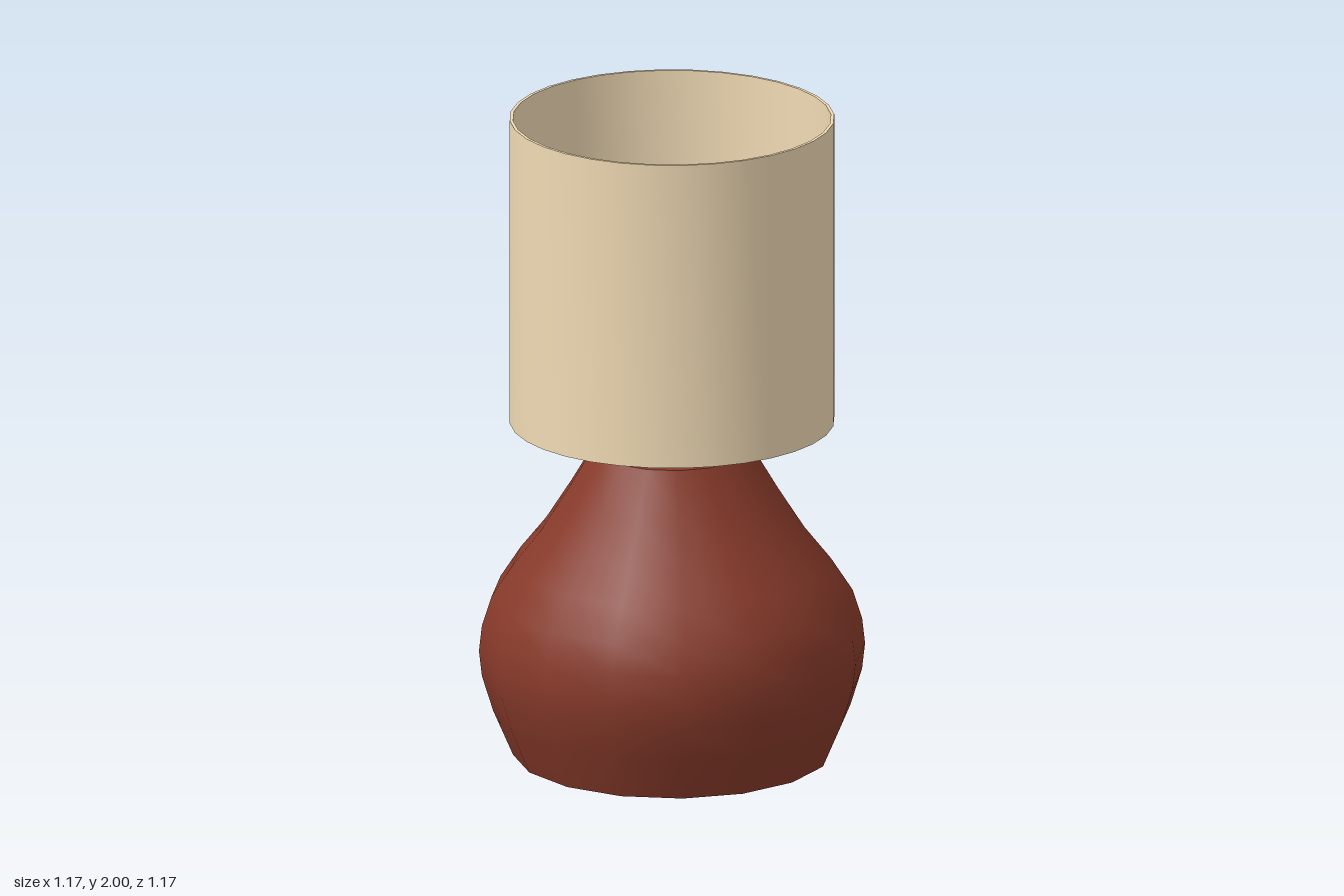
import * as THREE from 'three';
import { toCreasedNormals } from 'three/addons/utils/BufferGeometryUtils.js';

const CLAY = 0x873a2a, FABRIC = 0xf0dab4, GLASS = 0xf2dda5, METAL = 0x808080;

// Turned part from [radius, height] pairs, listed upward along the outside
function turned(name, color, profile, sides) {
  const points = profile.map(([r, y]) => new THREE.Vector2(r, y));
  const geometry = toCreasedNormals(new THREE.LatheGeometry(points, sides), 0.7);
  const mesh = new THREE.Mesh(geometry, new THREE.MeshStandardMaterial({ color }));
  mesh.name = name;
  return mesh;
}

// Flat bar that narrows and rises from the socket to the shade
function armGeometry() {
  const inner = 0.04, outer = 0.482;
  const geometry = new THREE.BoxGeometry(outer - inner, 0.02, 1);
  const p = geometry.attributes.position;
  for (let i = 0; i < p.count; i++) {
    const t = p.getX(i) > 0 ? 1 : 0;
    p.setX(i, t ? outer : inner);
    p.setY(i, p.getY(i) + 1.03 + 0.026 * t);
    p.setZ(i, p.getZ(i) * (t ? 0.016 : 0.064));
  }
  geometry.computeVertexNormals();
  return geometry;
}

export function createModel() {
  const lamp = new THREE.Group();
  lamp.name = 'tableLamp';

  // Pear-shaped base with flat ends
  lamp.add(turned('base', CLAY, [
    [0, 0], [0.48, 0], [0.54, 0.14], [0.574, 0.25], [0.583, 0.33], [0.574, 0.41],
    [0.545, 0.5], [0.48, 0.6], [0.4, 0.7], [0.32, 0.825], [0.24, 0.96], [0, 0.96],
  ], 16));

  // Collar and bulb holder
  lamp.add(turned('socket', METAL, [
    [0, 0.955], [0.095, 0.955], [0.095, 0.992], [0.08, 1.004], [0.055, 1.01],
    [0.047, 1.03], [0.047, 1.125], [0.038, 1.145], [0, 1.145],
  ], 16));

  // Light bulb
  lamp.add(turned('bulb', GLASS, [
    [0, 1.125], [0.038, 1.125], [0.048, 1.17], [0.07, 1.215], [0.097, 1.262], [0.113, 1.305],
    [0.116, 1.34], [0.107, 1.385], [0.082, 1.425], [0.045, 1.45], [0, 1.458],
  ], 16));

  // Three arms carrying the shade
  const arms = new THREE.Group();
  arms.name = 'shadeArms';
  const geometry = armGeometry();
  const metal = new THREE.MeshStandardMaterial({ color: METAL });
  for (let i = 0; i < 3; i++) {
    const arm = new THREE.Mesh(geometry, metal);
    arm.name = 'shadeArm';
    arm.rotation.y = (i * Math.PI * 2) / 3;
    arms.add(arm);
  }
  lamp.add(arms);

  // Open drum shade with a thin wall
  lamp.add(turned('shade', FABRIC, [
    [0.48, 1.045], [0.49, 1.045], [0.49, 2], [0.48, 2], [0.48, 1.045],
  ], 32));

  return lamp;
}
